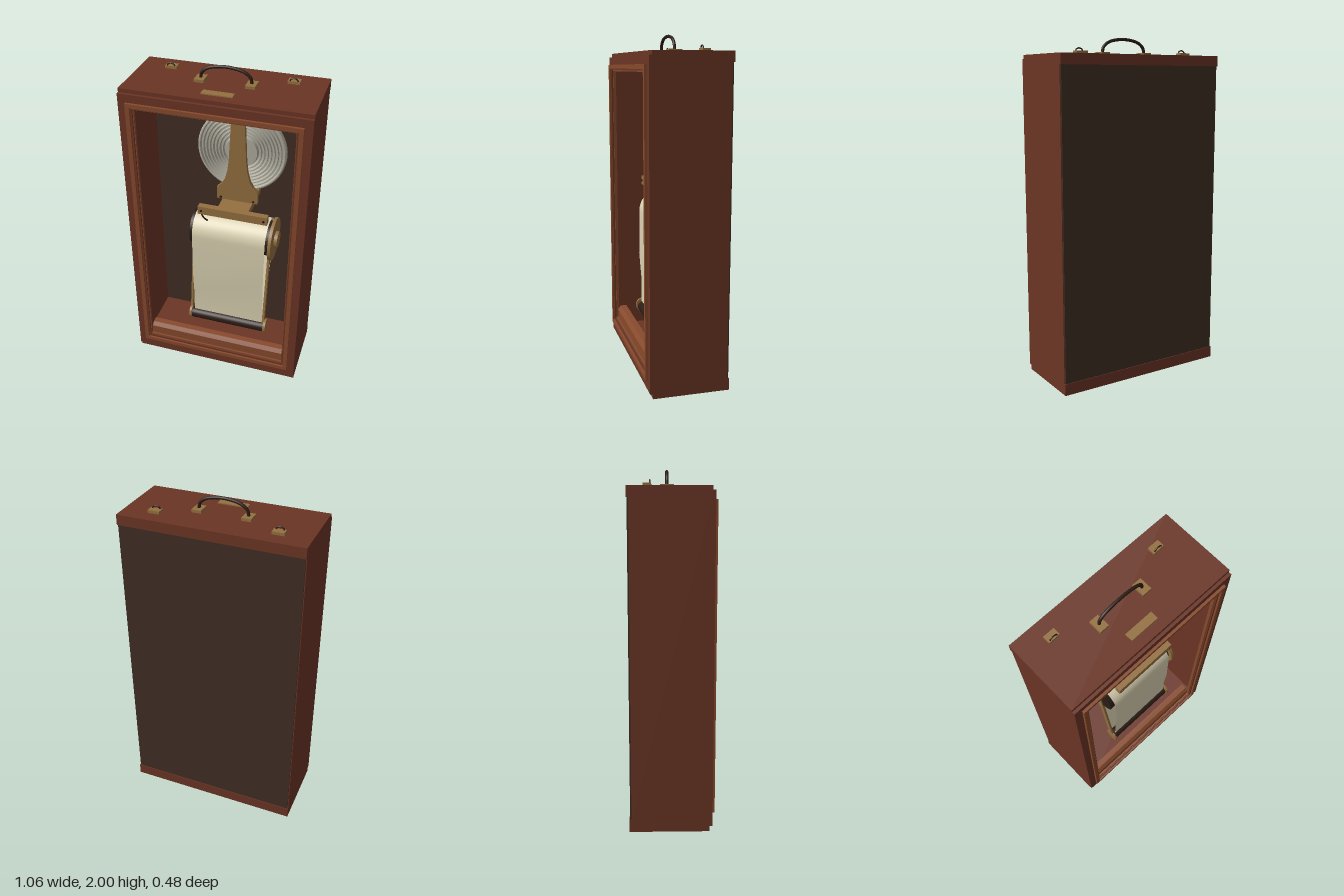
import * as THREE from 'three';
import { toCreasedNormals } from 'three/addons/utils/BufferGeometryUtils.js';

const mat = (name, color, side = THREE.FrontSide) => {
  const m = new THREE.MeshStandardMaterial({ color, side });
  m.name = name;
  return m;
};

export function createModel() {
  const wood = mat('mahogany', 0x6b3525);
  const trim = mat('light mahogany', 0x874a2c);
  const backing = mat('dark backing', 0x402e24);
  const brass = mat('brass', 0x947040);
  const steel = mat('steel', 0xb0ad9f, THREE.DoubleSide);
  const paperMat = mat('paper', 0xdbd2b2, THREE.DoubleSide);
  const dark = mat('blackened metal', 0x2c1c15);

  const root = new THREE.Group();
  root.name = 'recordingInstrumentCase';
  const add = (name, geo, material, parent = root) => {
    const m = new THREE.Mesh(geo, material);
    m.name = name;
    parent.add(m);
    return m;
  };
  // Box given by its limits on each axis
  const box = (name, material, x0, x1, y0, y1, z0, z1, parent) => {
    const m = add(name, new THREE.BoxGeometry(x1 - x0, y1 - y0, z1 - z0), material, parent);
    m.position.set((x0 + x1) / 2, (y0 + y1) / 2, (z0 + z1) / 2);
    return m;
  };
  // Cylinder lying along x
  const rod = (name, material, r, x0, x1, y, z, seg = 40) => {
    const m = add(name, new THREE.CylinderGeometry(r, r, x1 - x0, seg).rotateZ(Math.PI / 2), material);
    m.position.set((x0 + x1) / 2, y, z);
    return m;
  };
  const rect = (w, y0, y1, Type) => {
    const s = new Type();
    s.moveTo(-w, y0); s.lineTo(w, y0); s.lineTo(w, y1); s.lineTo(-w, y1); s.closePath();
    return s;
  };
  // Rectangular picture-frame ring
  const ring = (name, material, outer, inner, z0, z1) => {
    const s = rect(...outer, THREE.Shape);
    s.holes.push(rect(...inner, THREE.Path));
    const g = new THREE.ExtrudeGeometry(s, { depth: z1 - z0, bevelEnabled: false });
    return add(name, g.translate(0, 0, z0), material);
  };

  // Case
  box('topPanel', wood, -0.53, 0.53, 1.84, 1.9, -0.24, 0.208);
  box('bottomPanel', wood, -0.53, 0.53, 0, 0.068, -0.24, 0.208);
  for (const s of [-1, 1]) {
    box('sidePanel', wood, s * 0.515 - 0.015, s * 0.515 + 0.015, 0.068, 1.84, -0.228, 0.208);
  }
  box('backPanel', backing, -0.525, 0.525, 0.068, 1.84, -0.236, -0.215);

  // Glazed door frame, stepped inward
  ring('doorFrame', wood, [0.53, 0.03, 1.877], [0.46, 0.11, 1.81], 0.208, 0.225);
  ring('doorMoulding', trim, [0.485, 0.09, 1.83], [0.46, 0.115, 1.806], 0.225, 0.24);
  ring('doorInnerStep', wood, [0.46, 0.11, 1.81], [0.45, 0.128, 1.797], 0.2, 0.228);
  ring('doorInnerBead', trim, [0.45, 0.128, 1.797], [0.445, 0.134, 1.79], 0.2, 0.218);

  // Sill with a chamfered upper edge
  const sill = new THREE.Shape();
  [[0.15, 0.068], [0.207, 0.068], [0.207, 0.192], [0.188, 0.215], [0.15, 0.215]]
    .forEach(([z, y], i) => (i ? sill.lineTo(-z, y) : sill.moveTo(-z, y)));
  const sillGeo = new THREE.ExtrudeGeometry(sill, { depth: 0.88, bevelEnabled: false });
  add('sill', sillGeo.rotateY(Math.PI / 2).translate(-0.44, 0, 0), trim);

  // Carrying handle and its plates
  for (const s of [-1, 1]) {
    box('handlePlate', brass, s * 0.143 - 0.028, s * 0.143 + 0.028, 1.9, 1.916, -0.06, 0.018);
    box('staplePlate', brass, s * 0.35 - 0.034, s * 0.35 + 0.034, 1.9, 1.916, -0.155, -0.11);
    const loop = new THREE.CatmullRomCurve3([[-0.023, 1.912], [-0.017, 1.925], [0, 1.931], [0.017, 1.925], [0.023, 1.912]]
      .map(([x, y]) => new THREE.Vector3(x + s * 0.35, y, -0.117)));
    add('staple', new THREE.TubeGeometry(loop, 16, 0.004, 8), dark);
  }
  const grip = new THREE.CatmullRomCurve3([[-0.143, 1.914], [-0.136, 1.945], [-0.1, 1.974], [0, 1.991], [0.1, 1.974], [0.136, 1.945], [0.143, 1.914]]
    .map(([x, y]) => new THREE.Vector3(x, y, -0.021)));
  add('handle', new THREE.TubeGeometry(grip, 40, 0.009, 12), dark);
  box('topPlate', brass, -0.088, 0.086, 1.9, 1.906, 0.103, 0.15);

  // Corrugated pressure disc
  const prof = [[0, -0.075], [0.095, -0.075]];
  const rings = 8;
  for (let i = 0; i < rings; i++) {
    const r = 0.1 + i * 0.02;
    prof.push([r, -0.097], [r + 0.007, -0.097], [r + 0.012, -0.08], [r + 0.018, -0.08]);
  }
  prof.push([0.265, -0.085], [0.265, -0.115], [0.1, -0.13], [0, -0.13]);
  const discGeo = new THREE.LatheGeometry(prof.map(([r, z]) => new THREE.Vector2(r, z)).reverse(), 72);
  const disc = add('corrugatedDisc', toCreasedNormals(discGeo.rotateX(Math.PI / 2), 0.5), steel);
  disc.position.set(0.075, 1.46, 0);
  const axle = add('discAxle', new THREE.CylinderGeometry(0.025, 0.025, 0.19, 24).rotateX(Math.PI / 2), brass);
  axle.position.set(0.07, 1.46, -0.125);

  // Flared support arm
  const half = [[0.125, 1.155], [0.125, 1.232], [0.095, 1.262], [0.075, 1.3], [0.06, 1.36], [0.052, 1.43], [0.038, 1.71]];
  const outline = [...half, ...half.slice().reverse().map(([x, y]) => [-x, y])];
  const arm = new THREE.Shape(outline.map(([x, y]) => new THREE.Vector2(x + 0.07, y)));
  add('supportArm', new THREE.ExtrudeGeometry(arm, { depth: 0.025, bevelEnabled: false }).translate(0, 0, -0.04), brass);
  box('armCap', brass, 0.028, 0.112, 1.7, 1.716, -0.045, -0.008);

  // Cross bar and bracket
  box('crossBar', brass, -0.135, 0.287, 1.105, 1.157, 0.072, 0.11);
  box('barBracket', brass, -0.02, 0.165, 1.112, 1.155, -0.215, 0.072);
  const screw = (x, y, z) => {
    const m = add('screw', new THREE.CylinderGeometry(0.007, 0.007, 0.006, 12).rotateX(Math.PI / 2), dark);
    m.position.set(x, y, z);
  };
  for (const s of [-1, 1]) {
    screw(0.076 + s * 0.19, 1.13, 0.112);
    screw(0.07 + s * 0.1, 1.168, -0.013);
  }

  // Pen
  const pen = new THREE.CatmullRomCurve3([[-0.125, 1.107, 0.09], [-0.105, 1.07, 0.09], [-0.085, 1.045, 0.08]]
    .map((p) => new THREE.Vector3(...p)));
  add('pen', new THREE.TubeGeometry(pen, 10, 0.005, 8), dark);

  // Chart drums with end discs and slanted side straps
  const top = { y: 0.93, z: -0.01 }, low = { y: 0.287, z: 0.092 };
  rod('upperDrum', dark, 0.108, -0.198, 0.295, top.y, top.z);
  rod('driveWheel', brass, 0.133, 0.297, 0.316, top.y, top.z, 56);
  rod('driveHub', brass, 0.05, 0.316, 0.336, top.y, top.z);
  rod('lowerDrum', dark, 0.034, -0.19, 0.292, low.y, low.z);
  for (const [x0, x1] of [[-0.205, -0.19], [0.292, 0.308]]) rod('lowerEndDisc', brass, 0.045, x0, x1, low.y + 0.01, low.z);
  const len = Math.hypot(top.y - low.y, low.z - top.z);
  for (const x of [-0.197, 0.286]) {
    const strap = add('sideStrap', new THREE.BoxGeometry(0.014, len, 0.03), brass);
    strap.position.set(x, (top.y + low.y) / 2, (top.z + low.z) / 2);
    strap.rotation.x = -Math.atan2(low.z - top.z, top.y - low.y);
  }

  // Chart paper: over the upper drum and down to the lower one
  const path = [[0.32, 0.094], [0.33, 0.105], [0.49, 0.105], [0.65, 0.118], [0.88, 0.115]];
  for (let i = 0; i <= 24; i++) {
    const a = (i / 24) * Math.PI;
    path.push([top.y + 0.125 * Math.sin(a), top.z + 0.125 * Math.cos(a)]);
  }
  path.push([low.y, 0.056]);
  const pos = [], idx = [];
  path.forEach(([y, z], i) => {
    pos.push(-0.175, y, z, 0.28, y, z);
    const k = i * 2;
    if (i) idx.push(k - 2, k - 1, k + 1, k - 2, k + 1, k);
  });
  const paper = new THREE.BufferGeometry();
  paper.setAttribute('position', new THREE.Float32BufferAttribute(pos, 3));
  paper.setIndex(idx);
  add('chartPaper', toCreasedNormals(paper, 0.14), paperMat);

  return root;
}
